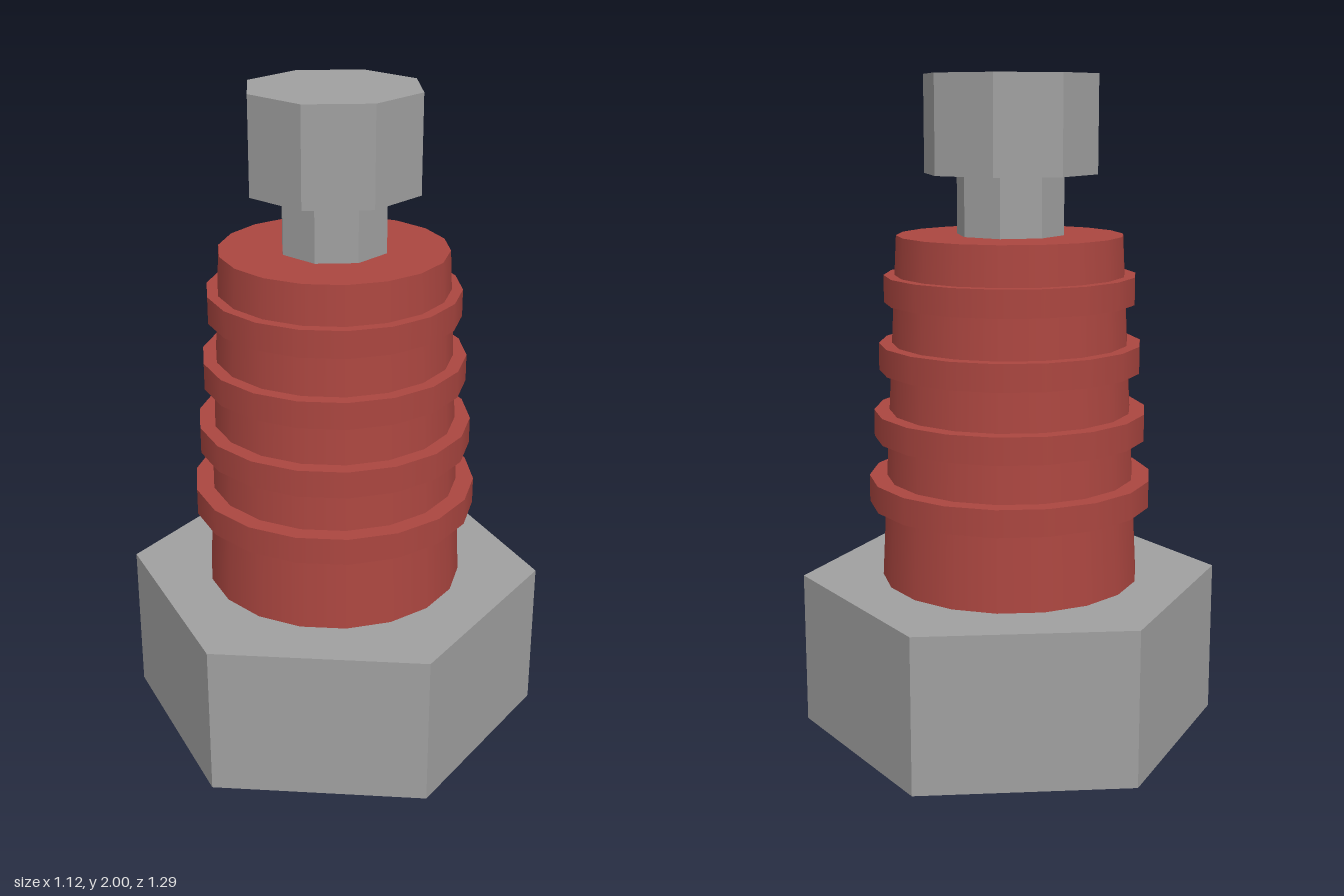
import * as THREE from 'three';

export function createModel() {
  const model = new THREE.Group();
  model.name = 'ribbedInsulator';

  const steel = new THREE.MeshStandardMaterial({ color: 0xa0a0a0 });
  steel.name = 'steel grey';
  steel.flatShading = true;
  const red = new THREE.MeshStandardMaterial({ color: 0xab4640 });
  red.name = 'insulator red';

  // Upright prism or cone between two heights
  function addPrism(name, material, rTop, rBottom, y0, y1, sides) {
    const geometry = new THREE.CylinderGeometry(rTop, rBottom, y1 - y0, sides);
    const mesh = new THREE.Mesh(geometry, material);
    mesh.name = name;
    mesh.position.y = (y0 + y1) / 2;
    model.add(mesh);
  }

  // Hexagonal base nut
  addPrism('baseNut', steel, 0.645, 0.645, 0, 0.475, 6);

  // Tapered core
  addPrism('core', red, 0.342, 0.397, 0.475, 1.53, 18);

  // Four ribs, shrinking upwards
  for (let i = 0; i < 4; i++) {
    const radius = 0.434 - i * 0.0177;
    const y = 0.713 + i * 0.2055;
    addPrism(`rib${i + 1}`, red, radius, radius, y, y + 0.082, 18);
  }

  // Octagonal neck and cap
  addPrism('neck', steel, 0.163, 0.163, 1.53, 1.71, 8);
  addPrism('cap', steel, 0.263, 0.263, 1.71, 2, 8);

  return model;
}
